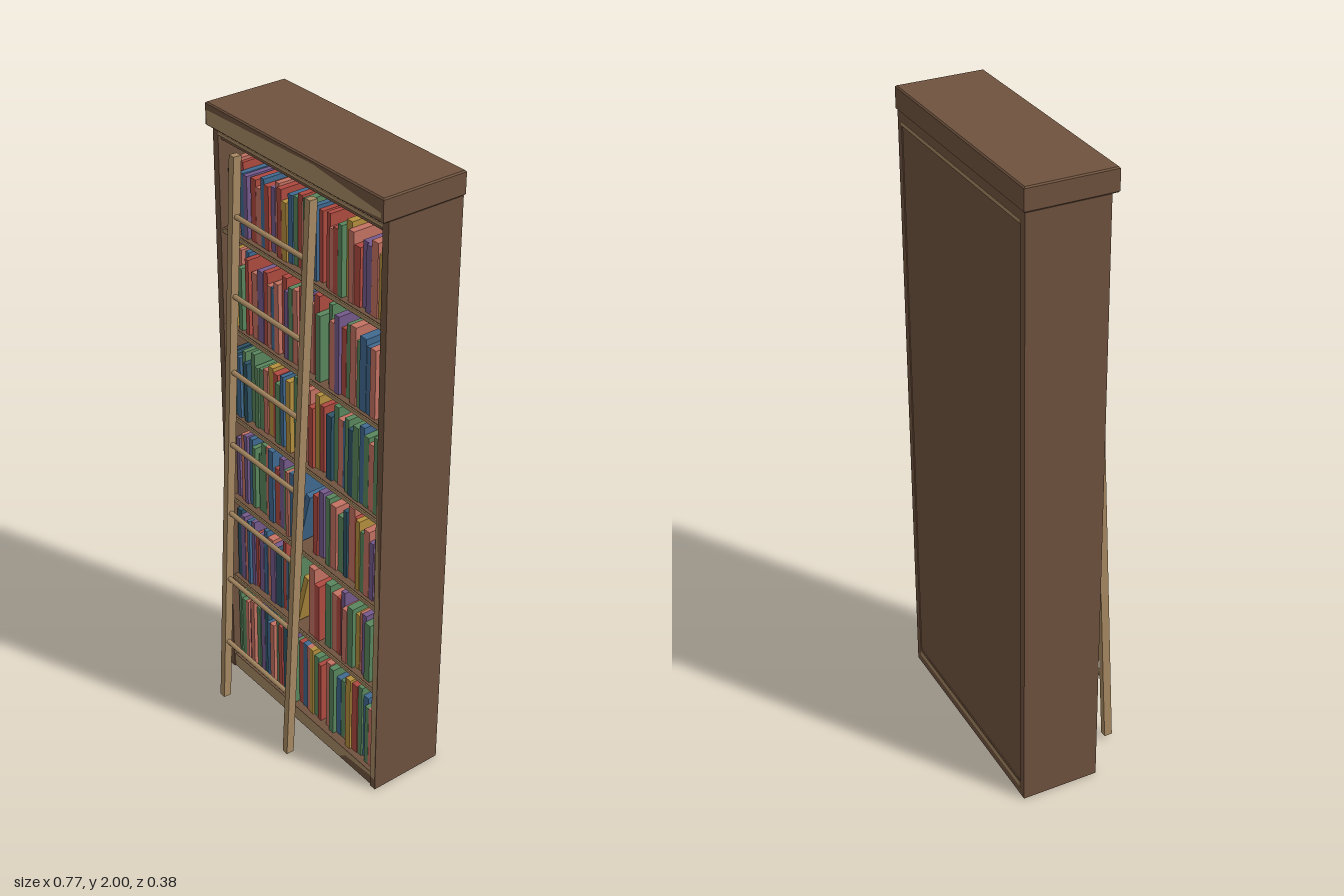
import * as THREE from 'three';

const material = (name, color) => {
  const m = new THREE.MeshStandardMaterial({ color });
  m.name = name;
  return m;
};

export function createModel() {
  const model = new THREE.Group();
  model.name = 'bookcaseWithLadder';
  const brown = material('brown wood', 0x6e523e);
  const tan = material('tan wood', 0xa78962);
  const covers = {
    r: material('red cover', 0xae4a40), b: material('blue cover', 0x416a90),
    g: material('green cover', 0x5a875e), s: material('salmon cover', 0xc37262),
    p: material('purple cover', 0x745a8c), y: material('gold cover', 0xb48f3e),
    t: material('dark teal cover', 0x2f5568),
  };

  // Box given by its limits on each axis
  const box = (parent, name, mat, x0, x1, y0, y1, z0, z1) => {
    const mesh = new THREE.Mesh(new THREE.BoxGeometry(x1 - x0, y1 - y0, z1 - z0), mat);
    mesh.position.set((x0 + x1) / 2, (y0 + y1) / 2, (z0 + z1) / 2);
    mesh.name = name;
    parent.add(mesh);
    return mesh;
  };

  // Flat patch of lighter wood facing the front
  const patch = (parent, name, z, points) => {
    const shape = new THREE.Shape(points.map(([x, y]) => new THREE.Vector2(x, y)));
    const mesh = new THREE.Mesh(new THREE.ShapeGeometry(shape), tan);
    mesh.position.z = z;
    mesh.name = name;
    parent.add(mesh);
  };

  // Case
  const cabinet = new THREE.Group();
  cabinet.name = 'case';
  model.add(cabinet);
  const back = -0.187, front = 0.06, inner = 0.356;
  box(cabinet, 'rightSide', brown, -0.38, -inner, 0, 1.93, back, front);
  box(cabinet, 'leftSide', brown, inner, 0.38, 0, 1.93, back, front);
  box(cabinet, 'backPanel', brown, -inner, inner, 0.04, 1.9, back + 0.003, -0.165);
  box(cabinet, 'header', brown, -inner, inner, 1.89, 1.93, back, 0.05);
  box(cabinet, 'headerTrim', tan, -inner, inner, 1.905, 1.915, 0.05, 0.06);
  box(cabinet, 'plinth', brown, -inner, inner, 0, 0.05, back, 0.055);
  box(cabinet, 'lowerBackTrim', tan, -inner, inner, 0.028, 0.045, back - 0.001, back);
  box(cabinet, 'upperBackTrim', tan, -inner, inner, 1.892, 1.902, back - 0.001, back);

  // Cornice with a narrow bevel all round
  const outline = new THREE.Shape();
  outline.moveTo(-0.379, -0.077).lineTo(0.379, -0.077).lineTo(0.379, 0.187).lineTo(-0.379, 0.187).closePath();
  const corniceGeometry = new THREE.ExtrudeGeometry(outline, {
    depth: 0.062, bevelEnabled: true, bevelSize: 0.004, bevelThickness: 0.004, bevelSegments: 1,
  });
  corniceGeometry.rotateX(-Math.PI / 2);
  const cornice = new THREE.Mesh(corniceGeometry, brown);
  cornice.name = 'cornice';
  cornice.position.y = 1.934;
  cabinet.add(cornice);

  // Lighter areas on the front faces and the back panel
  patch(cabinet, 'corniceGrain', 0.0825,
    [[-0.375, 1.936], [0.2, 1.936], [0.375, 1.945], [0.375, 1.96], [0.1, 1.99], [-0.375, 1.978]]);
  patch(cabinet, 'plinthGrain', 0.0565,
    [[-inner, 0.004], [0.2, 0.004], [0.23, 0.028], [inner, 0.036], [inner, 0.05], [-inner, 0.05]]);
  patch(cabinet, 'stileGrain', front + 0.0015, [[0.358, 0.04], [0.378, 0.04], [0.378, 0.7], [0.358, 1.15]]);
  patch(cabinet, 'backGrainLeft', -0.163,
    [[0.13, 0.05], [inner, 0.05], [inner, 1.21], [0.31, 1.29], [0.13, 1.29]]);
  patch(cabinet, 'backGrainLow', -0.163,
    [[-inner, 0.05], [0.13, 0.05], [0.13, 0.37], [-0.26, 0.37], [-inner, 0.31]]);

  // Shelves and books: floor height, tallest book, covers of the three sections
  const rows = [
    [0.05, 0.28, 'ggspsg', 'ptbsgrtspgrbsygr', 'sgbgsyrgbgs'],
    [0.38, 0.26, 'tpsbpr', 'pbsptrbgsr', 'gsrpsgyspgs'],
    [0.69, 0.26, 'ppspbg', 'ggsbrpgsbrp', 'gsgtsrygsps'],
    [1.0, 0.26, 'ttbgtg', 'ggsyrgbsygrgsryr', 'tgsbgtgbgsg'],
    [1.31, 0.26, 'gysgbr', 'sprsbsrpgsrbpsrg', 'gsprgsgbbsp'],
    [1.62, 0.23, 'gpsrbp', 'rsbrpsrybgrsgybr', 'rsrgysrppsy'],
  ];
  const sections = [[-0.35, -0.252], [-0.242, 0.078], [0.1, 0.342]];
  let seed = 7;
  const random = () => {
    seed = (seed * 16807) % 2147483647;
    return seed / 2147483647;
  };
  rows.forEach(([y, tallest, ...colours], row) => {
    if (row > 0) {
      box(cabinet, 'shelf', brown, -inner, inner, y - 0.018, y, -0.165, 0.05);
      box(cabinet, 'shelfEdge', tan, -inner, inner, y - 0.014, y - 0.002, 0.05, 0.054);
    }
    const books = new THREE.Group();
    books.name = 'bookRow';
    model.add(books);
    const leans = row === 1 || row === 2;
    sections.forEach(([start, end], part) => {
      // Two rows leave a gap in the middle for a leaning book
      const gap = leans && part === 1 ? 0.085 : 0;
      const widths = [...colours[part]].map(() => 0.7 + random() * 0.6);
      const unit = (end - start - gap) / widths.reduce((a, b) => a + b);
      let x = start;
      widths.forEach((w, i) => {
        if (gap && i === widths.length - 2) {
          const leaning = box(books, 'leaningBook', row === 1 ? covers.y : covers.b,
            x + 0.03, x + 0.05, y + 0.006, y + 0.2, -0.12, 0.035);
          leaning.rotation.z = -0.25;
          x += gap;
        }
        const height = tallest - random() * 0.06;
        box(books, 'book', covers[colours[part][i]], x, x + w * unit - 0.0008,
          y, y + height, -0.13, 0.025 + random() * 0.018);
        x += w * unit;
      });
    });
  });

  // Leaning ladder
  const ladder = new THREE.Group();
  ladder.name = 'ladder';
  model.add(ladder);
  const bottom = new THREE.Vector2(0.174, 0.012), top = new THREE.Vector2(0.08, 1.89);
  const tilt = Math.atan2(top.x - bottom.x, top.y - bottom.y);
  for (const x of [-0.248, 0.09]) {
    const rail = new THREE.Mesh(new THREE.BoxGeometry(0.022, bottom.distanceTo(top), 0.026), tan);
    rail.position.set(x, (bottom.y + top.y) / 2, (bottom.x + top.x) / 2);
    rail.rotation.x = tilt;
    rail.name = 'ladderRail';
    ladder.add(rail);
  }
  for (let i = 0; i < 7; i++) {
    const y = 0.235 + i * 0.246;
    const rung = new THREE.Mesh(new THREE.CylinderGeometry(0.008, 0.008, 0.33, 8), tan);
    rung.rotation.z = Math.PI / 2;
    rung.position.set(-0.079, y, bottom.x + (y - bottom.y) * Math.tan(tilt));
    rung.name = 'ladderRung';
    ladder.add(rung);
  }
  return model;
}
